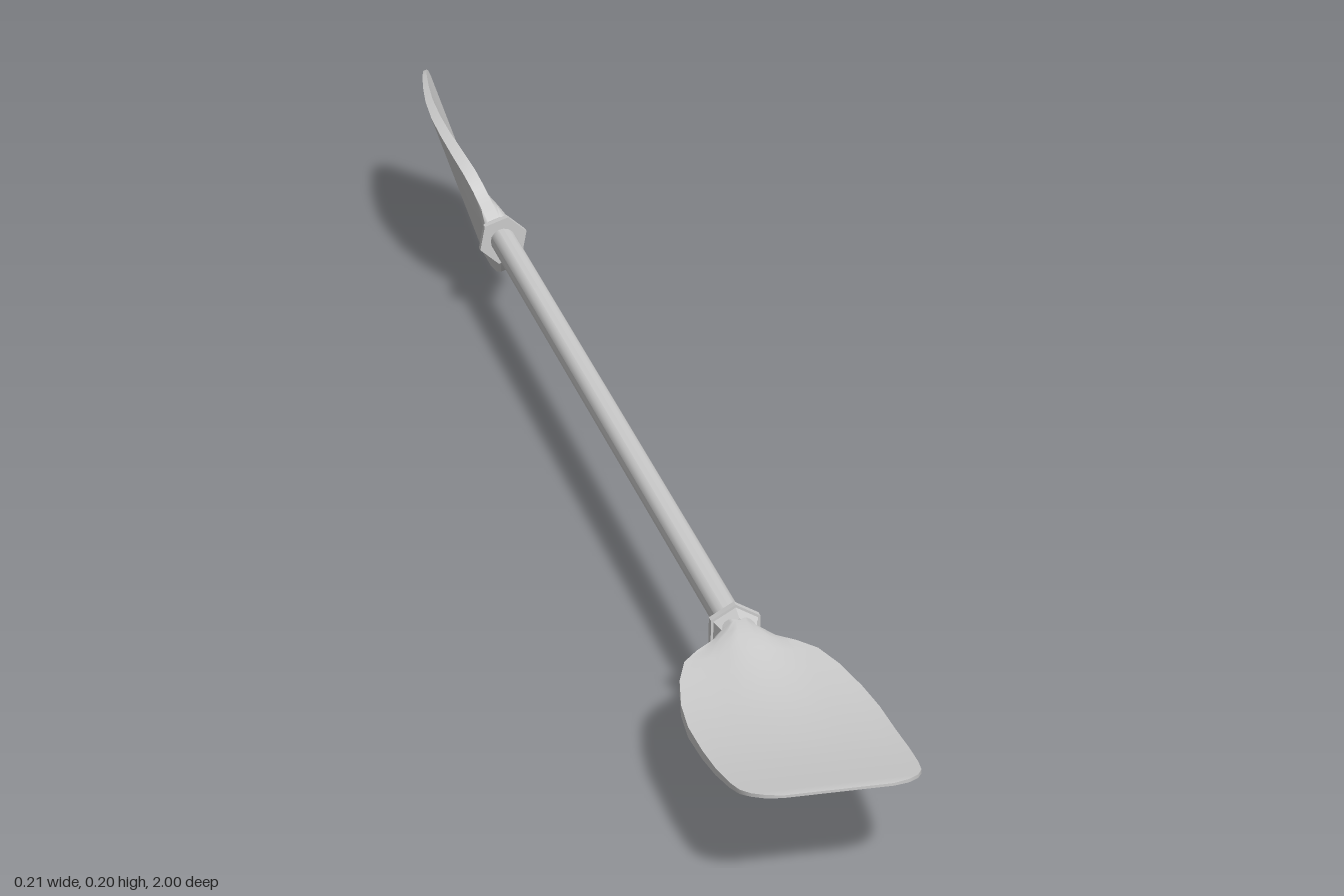
import * as THREE from 'three';
import { toCreasedNormals } from 'three/addons/utils/BufferGeometryUtils.js';

const AXIS_Y = 0.105;
const FEATHER = -1.237; // twist of the rear blade about the shaft
const material = new THREE.MeshStandardMaterial({ color: 0xcccccc, side: THREE.DoubleSide });

// Blade stations: z, half width, mid height, edge thickness, top ridge, bottom ridge
const STATIONS = [
  [0.585, 0.022, 0, 0.016, 0.014, 0.012],
  [0.605, 0.021, 0, 0.016, 0.014, 0.011],
  [0.62, 0.036, -0.001, 0.016, 0.013, 0.007],
  [0.635, 0.055, -0.002, 0.016, 0.012, 0.004],
  [0.655, 0.074, -0.004, 0.016, 0.009, 0.002],
  [0.69, 0.088, -0.007, 0.015, 0.005, 0.001],
  [0.74, 0.099, -0.0095, 0.013, 0.002, 0],
  [0.79, 0.104, -0.0095, 0.012, 0.001, 0],
  [0.85, 0.104, -0.006, 0.01, 0, 0],
  [0.9, 0.103, 0, 0.008, 0, 0],
  [0.945, 0.1, 0.007, 0.006, 0, 0],
  [0.97, 0.096, 0.0115, 0.005, 0, 0],
  [0.985, 0.088, 0.0145, 0.004, 0, 0],
  [0.995, 0.075, 0.016, 0.004, 0, 0],
  [1, 0.058, 0.0165, 0.003, 0, 0],
  [1, 0, 0.0165, 0.003, 0, 0], // closes the tip
];

// Closed loft: top surface left to right, then bottom surface right to left
function bladeGeometry() {
  const across = 12, ring = 2 * (across + 1);
  const positions = [], index = [];
  for (const [z, w, mid, edge, top, bottom] of STATIONS) {
    for (let k = 0; k < ring; k++) {
      const onTop = k <= across;
      const u = onTop ? -1 + (2 * k) / across : 1 - (2 * (k - across - 1)) / across;
      const x = u * w;
      const bump = Math.max(0, 1 - (x / 0.045) ** 2) * Math.sqrt(Math.max(0, 1 - u * u));
      positions.push(x, onTop ? mid + edge / 2 + top * bump : mid - edge / 2 - bottom * bump, z);
    }
  }
  for (let i = 0; i < STATIONS.length - 1; i++) {
    for (let k = 0; k < ring; k++) {
      const a = i * ring + k, b = i * ring + ((k + 1) % ring);
      index.push(a, a + ring, b, b, a + ring, b + ring);
    }
  }
  const geometry = new THREE.BufferGeometry();
  geometry.setAttribute('position', new THREE.Float32BufferAttribute(positions, 3));
  geometry.setIndex(index);
  return toCreasedNormals(geometry, 0.7);
}

// Prism lying along z
function rod(name, r0, r1, length, sides, z) {
  let geometry = new THREE.CylinderGeometry(r1, r0, length, sides);
  geometry.rotateX(Math.PI / 2);
  geometry = toCreasedNormals(geometry, 0.7);
  const mesh = new THREE.Mesh(geometry, material);
  mesh.name = name;
  mesh.position.z = z;
  return mesh;
}

// One paddle end: stepped hexagonal collar and blade
function paddleEnd(name) {
  const end = new THREE.Group();
  end.name = name;
  const blade = new THREE.Mesh(bladeGeometry(), material);
  blade.name = 'blade';
  end.add(
    blade,
    rod('collarFlange', 0.032, 0.032, 0.009, 6, 0.584),
    rod('collarNeck', 0.029, 0.023, 0.016, 6, 0.596),
  );
  return end;
}

export function createModel() {
  const model = new THREE.Group();
  model.name = 'paddle';

  const shaft = rod('shaft', 0.0165, 0.0165, 1.18, 16, 0);
  const front = paddleEnd('frontEnd');
  const rear = paddleEnd('rearEnd');
  rear.rotation.set(0, Math.PI, FEATHER, 'ZYX');

  for (const part of [shaft, front, rear]) {
    part.position.y = AXIS_Y;
    model.add(part);
  }
  return model;
}
